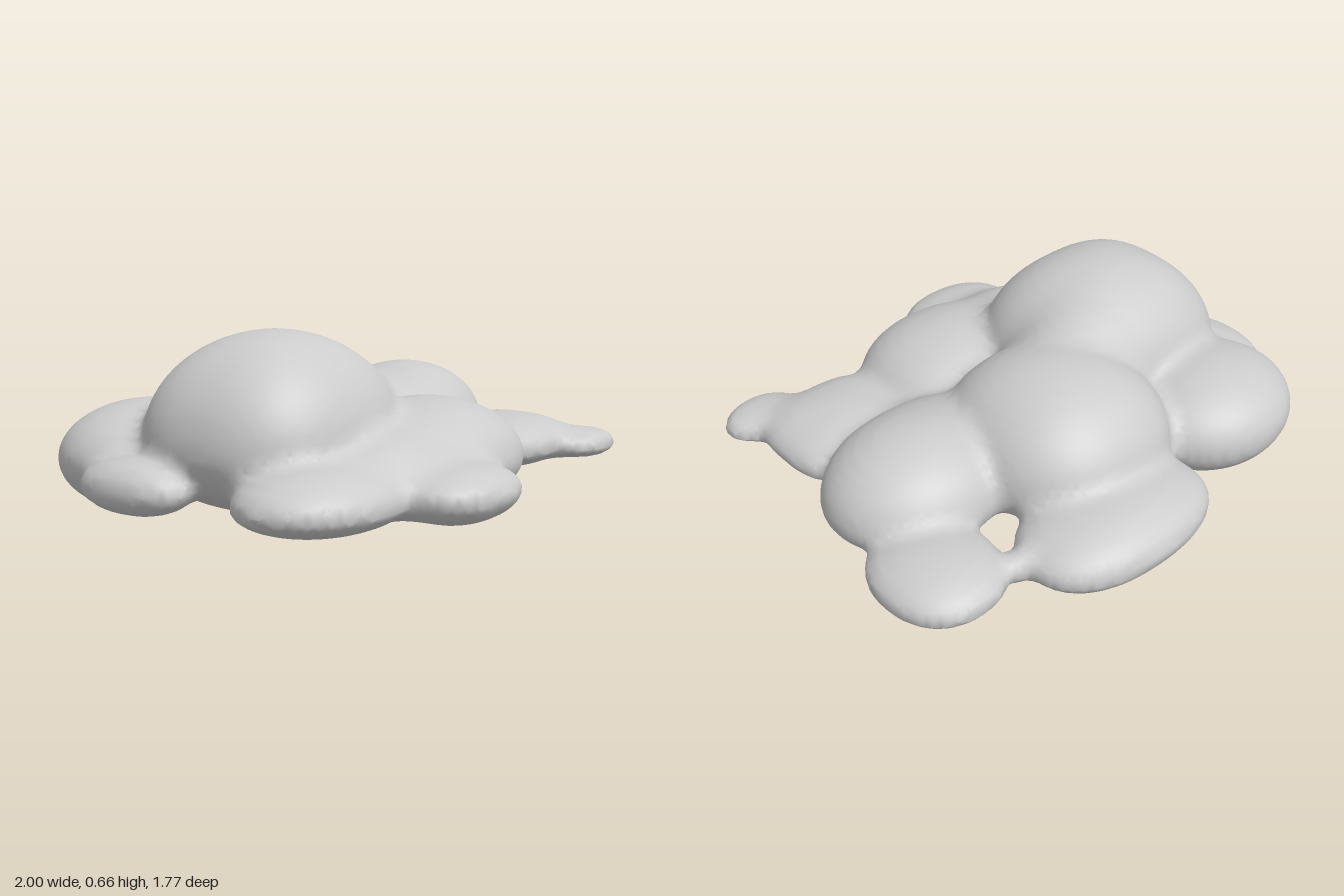
import * as THREE from 'three';

// Puffs of the cloud: centre x, y, z, radii x, z, height above and below the centre,
// and how square the puff is in plan (2 is round)
const puffs = [
  [-0.43, 0.29, 0.05, 0.44, 0.40, 0.375, 0.25, 2.5], // tall main puff
  [0.06, 0.26, -0.24, 0.39, 0.40, 0.31, 0.23, 2.3], // second tall puff
  [-0.20, 0.28, -0.08, 0.28, 0.26, 0.31, 0.20, 2], // bridge between the tall puffs
  [0.57, 0.22, -0.08, 0.355, 0.30, 0.235, 0.16, 2], // left side
  [0.42, 0.22, 0.02, 0.28, 0.22, 0.17, 0.14, 2], // left side, inner part
  [0.02, 0.19, 0.38, 0.37, 0.33, 0.22, 0.16, 2.2], // front middle
  [-0.30, 0.18, 0.42, 0.33, 0.26, 0.17, 0.13, 2], // front, below the main puff
  [-0.63, 0.15, 0.41, 0.35, 0.26, 0.13, 0.10, 2], // front right
  [-0.27, 0.16, 0.68, 0.25, 0.20, 0.09, 0.11, 2.2], // front tip
  [0.55, 0.18, 0.39, 0.27, 0.25, 0.11, 0.09, 3], // front left
  [0.33, 0.19, 0.15, 0.17, 0.17, 0.10, 0.08, 2], // joint of the left and front puffs
  [0.73, 0.17, 0.65, 0.155, 0.11, 0.06, 0.05, 2], // small front left tip
  [0.78, 0.18, -0.44, 0.22, 0.24, 0.10, 0.09, 2.2], // back left
  [0.17, 0.18, -0.65, 0.385, 0.24, 0.13, 0.13, 2.3], // back
  [0.55, 0.18, -0.60, 0.07, 0.04, 0.05, 0.05, 2], // joint of the two back puffs
  [-0.54, 0.20, -0.43, 0.34, 0.305, 0.20, 0.20, 2], // back right
  [-0.87, 0.16, -0.18, 0.13, 0.22, 0.10, 0.09, 2.2], // small right side
];
const BLEND = 0.055;

// Signed distance to all puffs, softly merged
function field(x, y, z) {
  let d = 1;
  for (const [cx, cy, cz, rx, rz, up, down, p] of puffs) {
    const ry = y > cy ? up : down;
    const a = (x - cx) / rx, b = (y - cy) / ry, c = (z - cz) / rz;
    const plan = (Math.abs(a) ** p + Math.abs(c) ** p) ** (1 / p);
    const k = Math.hypot(plan, b);
    const g = Math.hypot(a / rx, b / ry, c / rz) + 1e-6;
    const e = k < 1e-4 ? -Math.min(rx, ry, rz) : k * (k - 1) / g;
    const h = Math.max(BLEND - Math.abs(d - e), 0) / BLEND;
    d = Math.min(d, e) - h * h * BLEND / 4;
  }
  return d;
}

// Pull a point onto the surface along the gradient
function settle(p) {
  const s = 0.002;
  for (let i = 0; i < 3; i++) {
    const f = field(p.x, p.y, p.z);
    const g = new THREE.Vector3(
      field(p.x + s, p.y, p.z) - field(p.x - s, p.y, p.z),
      field(p.x, p.y + s, p.z) - field(p.x, p.y - s, p.z),
      field(p.x, p.y, p.z + s) - field(p.x, p.y, p.z - s)
    ).divideScalar(2 * s);
    const step = THREE.MathUtils.clamp(f / Math.max(g.lengthSq(), 0.2), -0.015, 0.015);
    p.addScaledVector(g, -step);
  }
  return p;
}

// Skin the field: one vertex per crossed cell, one quad per crossed grid edge
function skin() {
  const cell = 0.028, n = [78, 31, 72], origin = [-1.09, -0.1, -1.0];
  const stride = [1, n[0], n[0] * n[1]];
  const at = (i, j, k) => i + j * stride[1] + k * stride[2];
  const values = new Float32Array(n[0] * n[1] * n[2]);
  const each = (fn, trim) => {
    for (let k = trim; k < n[2] - trim; k++)
      for (let j = trim; j < n[1] - trim; j++)
        for (let i = trim; i < n[0] - trim; i++) fn(i, j, k);
  };
  each((i, j, k) => {
    values[at(i, j, k)] = field(origin[0] + i * cell, origin[1] + j * cell, origin[2] + k * cell);
  }, 0);

  const positions = [], index = [], ids = new Map();
  const vertex = (id) => {
    if (!ids.has(id)) {
      const i = id % n[0], j = Math.floor(id / stride[1]) % n[1], k = Math.floor(id / stride[2]);
      // average of the crossings on the cell's twelve edges
      const sum = new THREE.Vector3();
      let count = 0;
      for (let c = 0; c < 8; c++) {
        const o = [c & 1, (c >> 1) & 1, c >> 2];
        const corner = at(i + o[0], j + o[1], k + o[2]);
        const v0 = values[corner];
        for (let a = 0; a < 3; a++) {
          if (o[a]) continue;
          const v1 = values[corner + stride[a]];
          if ((v0 < 0) === (v1 < 0)) continue;
          const q = [...o];
          q[a] = v0 / (v0 - v1);
          sum.add(new THREE.Vector3(...q));
          count++;
        }
      }
      sum.divideScalar(count).add(new THREE.Vector3(i, j, k)).multiplyScalar(cell);
      settle(sum.add(new THREE.Vector3(...origin)));
      ids.set(id, positions.length / 3);
      positions.push(sum.x, sum.y, sum.z);
    }
    return ids.get(id);
  };
  each((i, j, k) => {
    const id = at(i, j, k), inside = values[id] < 0;
    for (let a = 0; a < 3; a++) {
      if (inside === (values[id + stride[a]] < 0)) continue;
      const b = stride[(a + 1) % 3], c = stride[(a + 2) % 3];
      const q = [id - b - c, id - c, id, id - b].map(vertex);
      if (!inside) q.reverse();
      index.push(q[0], q[1], q[2], q[0], q[2], q[3]);
    }
  }, 1);

  const geometry = new THREE.BufferGeometry();
  geometry.setAttribute('position', new THREE.Float32BufferAttribute(positions, 3));
  geometry.setIndex(index);
  geometry.computeBoundingBox();
  geometry.translate(0, -geometry.boundingBox.min.y, 0);
  geometry.computeVertexNormals();
  return geometry;
}

export function createModel() {
  const group = new THREE.Group();
  group.name = 'cloud';
  const body = new THREE.Mesh(skin(), new THREE.MeshStandardMaterial({ color: 0xcccccc }));
  body.name = 'cloudBody';
  group.add(body);
  return group;
}
